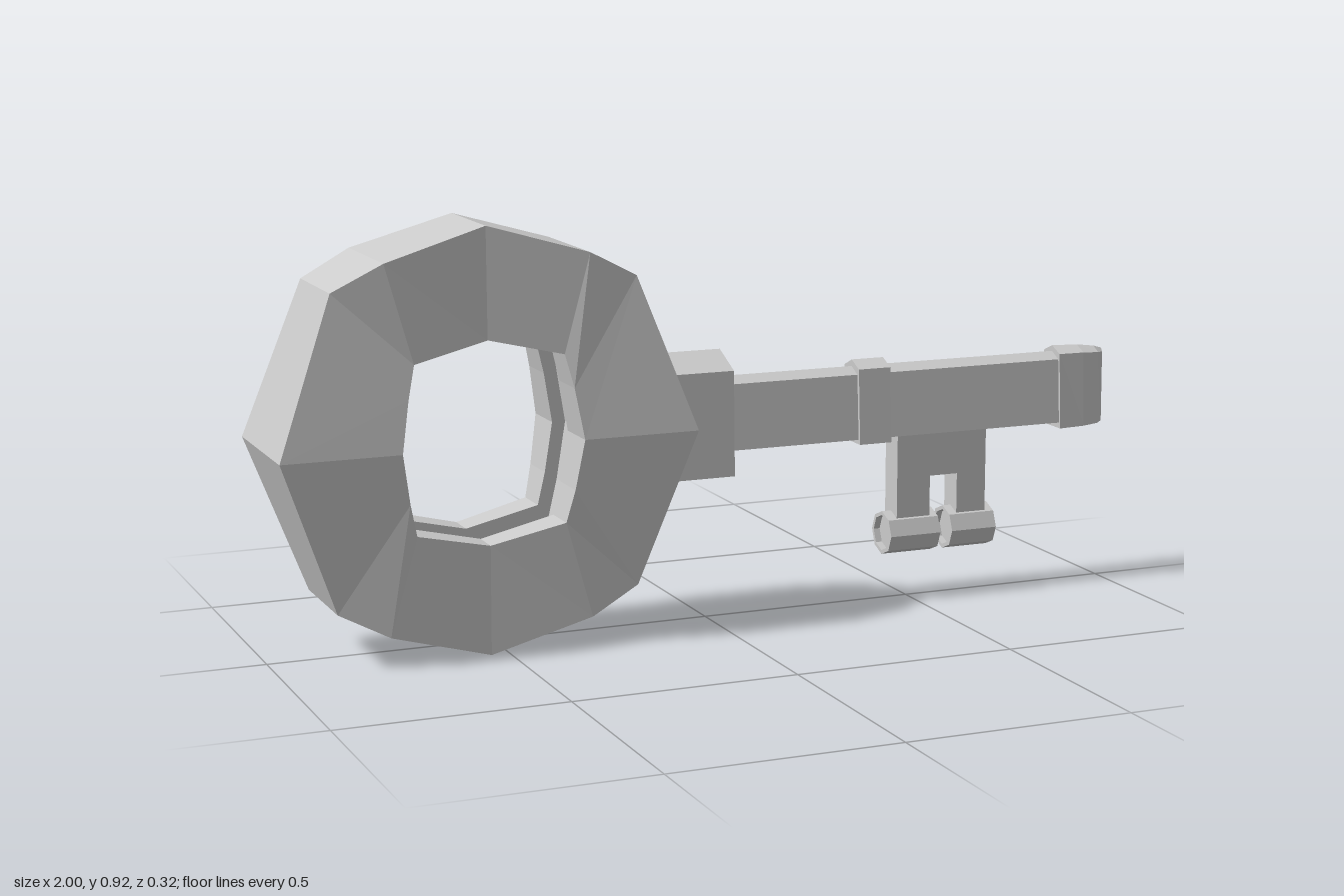
import * as THREE from 'three';

const material = new THREE.MeshStandardMaterial({ color: 0xcccccc, flatShading: true });

// Skins a list of closed cross-sections; either loops back to the start or is capped.
function loft(rows, looped = false) {
  const pos = [];
  const tri = (...pts) => pts.forEach(p => pos.push(...p));
  const n = rows[0].length;
  const last = looped ? rows.length : rows.length - 1;
  for (let i = 0; i < last; i++) {
    const r = rows[i], s = rows[(i + 1) % rows.length];
    for (let j = 0; j < n; j++) {
      const k = (j + 1) % n;
      tri(r[j], r[k], s[k]);
      tri(r[j], s[k], s[j]);
    }
  }
  if (!looped) {
    const middle = row => [0, 1, 2].map(a => row.reduce((sum, p) => sum + p[a], 0) / n);
    const first = rows[0], end = rows[rows.length - 1];
    for (let j = 0; j < n; j++) {
      const k = (j + 1) % n;
      tri(middle(first), first[k], first[j]);
      tri(middle(end), end[j], end[k]);
    }
  }
  const geometry = new THREE.BufferGeometry();
  geometry.setAttribute('position', new THREE.Float32BufferAttribute(pos, 3));
  geometry.computeVertexNormals();
  return geometry;
}

// Gabled cross-section at x: peak, shoulder and floor heights, top and bottom half widths.
const gable = (x, peak, shoulder, floor, top, bottom) => [
  [x, peak, 0], [x, shoulder, top], [x, floor, bottom], [x, floor, -bottom], [x, shoulder, -top],
];

// Octagonal cross-section at x around the teeth's axis.
const octagon = (x, r) => Array.from({ length: 8 }, (_, i) => {
  const a = i * Math.PI / 4;
  return [x, 0.155 + r * Math.cos(a), r * Math.sin(a)];
});

function bowGeometry() {
  // One quadrant: outer x, y, half depth, then inner x, y, half depth
  const quadrant = [
    [0, 0.46, 0.115, 0, 0.22, 0.118],
    [0.225, 0.395, 0.13, 0.165, 0.182, 0.133],
    [0.335, 0.338, 0.115, 0.182, 0.11, 0.145],
    [0.46, 0, 0.158, 0.2, 0, 0.158],
  ];
  const flip = (list, sx, sy) => list.map(([a, b, c, d, e, f]) => [a * sx, b * sy, c, d * sx, e * sy, f]);
  const around = [
    ...quadrant,
    ...flip(quadrant.slice(0, 3).reverse(), 1, -1),
    ...flip(quadrant.slice(1), -1, -1),
    ...flip(quadrant.slice(1, 3).reverse(), -1, 1),
  ];
  const cx = -0.54, cy = 0.463, groove = 0.05, deep = 1.15;
  return loft(around.map(([ox, oy, oz, ix, iy, iz]) => {
    const outer = z => [cx + ox, cy + oy, z];
    const inner = (z, s = 1) => [cx + ix * s, cy + iy * s, z];
    return [
      outer(-oz), outer(oz), inner(iz), inner(groove), inner(groove, deep),
      inner(-groove, deep), inner(-groove), inner(-iz),
    ];
  }), true);
}

export function createModel() {
  const key = new THREE.Group();
  key.name = 'key';
  const add = (name, geometry) => {
    const mesh = new THREE.Mesh(geometry, material);
    mesh.name = name;
    key.add(mesh);
    return mesh;
  };

  // Ring-shaped handle with a groove inside the hole
  add('bow', bowGeometry());

  // Collar, shaft and raised bands
  add('collar', loft([-0.16, 0.035].map(x => gable(x, 0.608, 0.572, 0.338, 0.08, 0.086))));
  add('shaft', loft([0, 0.92].map(x => gable(x, 0.547, 0.532, 0.385, 0.03, 0.04))));
  add('middleBand', loft([0.357, 0.435].map(x => gable(x, 0.562, 0.545, 0.375, 0.038, 0.048))));
  add('tip', loft([
    gable(0.87, 0.56, 0.545, 0.372, 0.036, 0.046),
    gable(0.935, 0.558, 0.544, 0.373, 0.033, 0.042),
    gable(0.98, 0.552, 0.54, 0.374, 0.022, 0.028),
    gable(1, 0.546, 0.538, 0.375, 0.006, 0.008),
  ]));

  // Notched plate hanging below the shaft
  const plate = new THREE.Shape([
    [0.46, 0.4], [0.46, 0.17], [0.543, 0.17], [0.543, 0.285],
    [0.612, 0.285], [0.612, 0.17], [0.685, 0.17], [0.685, 0.4],
  ].map(p => new THREE.Vector2(...p)));
  const bit = new THREE.ExtrudeGeometry(plate, { depth: 0.06, bevelEnabled: false });
  add('bitPlate', bit.translate(0, 0, -0.03));

  // Octagonal teeth with recessed ends
  for (const [x0, x1] of [[0.437, 0.562], [0.592, 0.705]]) {
    add('tooth', loft([
      octagon(x0 + 0.015, 0.041), octagon(x0, 0.041), octagon(x0, 0.05),
      octagon(x1, 0.05), octagon(x1, 0.041), octagon(x1 - 0.015, 0.041),
    ]));
  }
  return key;
}
